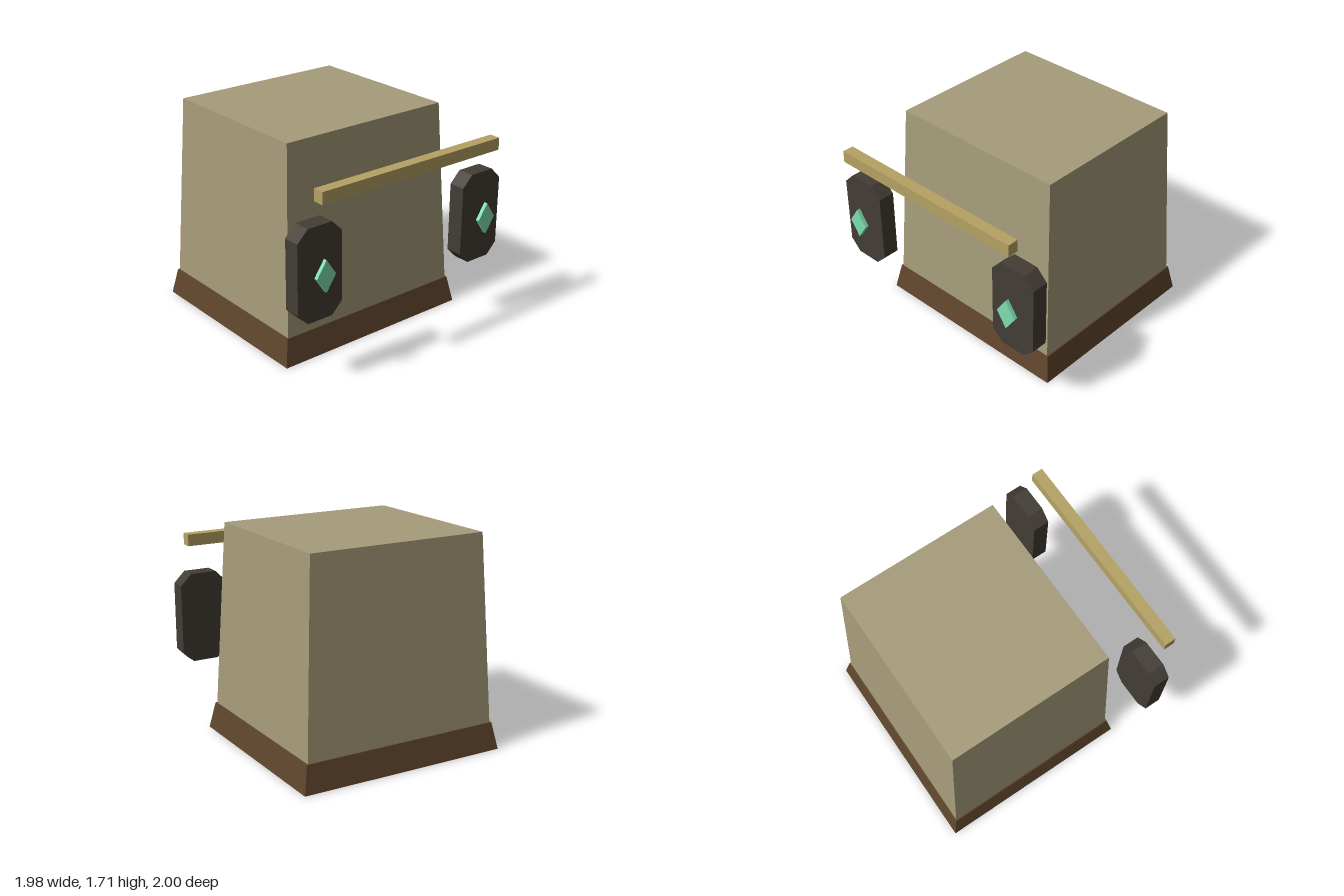
import * as THREE from 'three';

const material = (color) => new THREE.MeshStandardMaterial({ color, flatShading: true });

function addPart(parent, name, geometry, mat, x, y, z) {
  const mesh = new THREE.Mesh(geometry, mat);
  mesh.name = name;
  mesh.position.set(x, y, z);
  parent.add(mesh);
  return mesh;
}

// Box whose top and bottom rectangles are given by half sizes [x, z]
function taperedBox(bottom, top, height) {
  const geometry = new THREE.BoxGeometry(2, height, 2);
  const p = geometry.attributes.position;
  for (let i = 0; i < p.count; i++) {
    const [hx, hz] = p.getY(i) > 0 ? top : bottom;
    p.setX(i, p.getX(i) * hx);
    p.setZ(i, p.getZ(i) * hz);
  }
  geometry.translate(0, height / 2, 0);
  geometry.computeVertexNormals();
  return geometry;
}

// Flat outline extruded along z, centred in depth
function slab(points, depth) {
  const shape = new THREE.Shape(points.map(([x, y]) => new THREE.Vector2(x, y)));
  return new THREE.ExtrudeGeometry(shape, { depth, bevelEnabled: false }).translate(0, 0, -depth / 2);
}

export function createModel() {
  const model = new THREE.Group();
  model.name = 'taperedBlockWithPlates';

  const stone = material(0xa69c7a);
  const wood = material(0x5f452c);
  const brass = material(0xb5a264);
  const iron = material(0x433d35);
  const jade = material(0x7fdfb0);
  const blockZ = -0.205;

  // Flared base and the tapered block on it
  addPart(model, 'base', taperedBox([0.86, 0.795], [0.82, 0.753], 0.215), wood, 0, 0, blockZ);
  addPart(model, 'body', taperedBox([0.808, 0.745], [0.735, 0.667], 1.495), stone, 0, 0.21, blockZ);

  // Front crossbar
  addPart(model, 'crossbar', new THREE.BoxGeometry(1.7, 0.095, 0.09), brass, 0, 1.493, 0.955);

  // Chamfered plates, each with a diamond in front
  const w = 0.197, h = 0.365, c = 0.09;
  const plate = slab([
    [-w + c, -h], [w - c, -h], [w, -h + c], [w, h - c],
    [w - c, h], [-w + c, h], [-w, h - c], [-w, -h + c],
  ], 0.135);
  const gem = slab([[0, -0.126], [0.085, 0], [0, 0.126], [-0.085, 0]], 0.03);
  for (const [side, sign] of [['left', 1], ['right', -1]]) {
    addPart(model, side + 'Plate', plate, iron, sign * 0.792, 0.886, 0.833);
    addPart(model, side + 'Gem', gem, jade, sign * 0.792, 0.888, 0.958);
  }
  return model;
}
